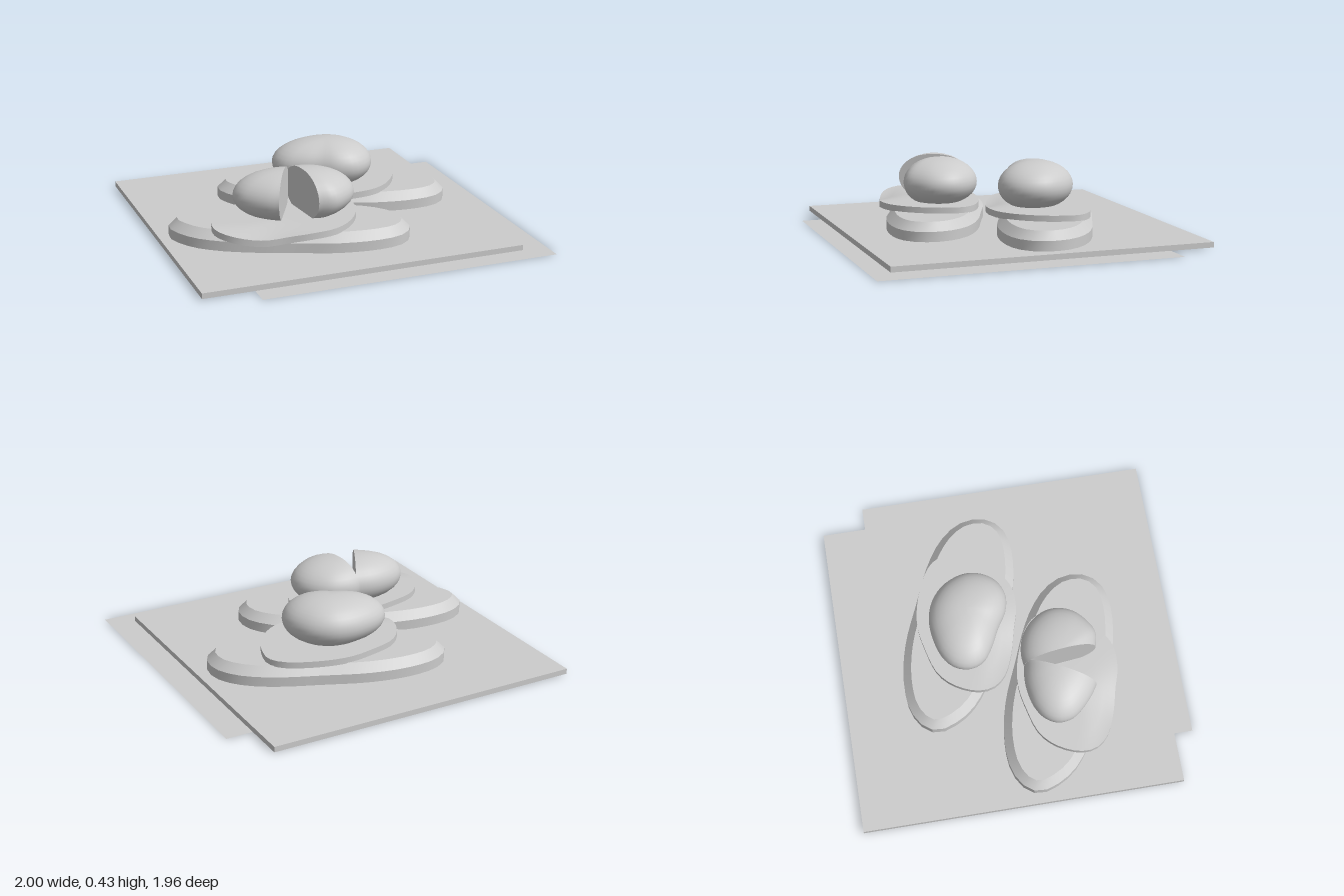
import * as THREE from 'three';
import { toCreasedNormals } from 'three/addons/utils/BufferGeometryUtils.js';

const grey = new THREE.MeshStandardMaterial({ color: 0xcccccc });

// Smooth outline through [x, z] points, counter-clockwise when seen from above
function smoothOutline(points, count, closed = true) {
  const curve = new THREE.CatmullRomCurve3(
    points.map(([x, z]) => new THREE.Vector3(x, 0, z)), closed);
  const out = curve.getSpacedPoints(count).map(p => new THREE.Vector2(p.x, p.z));
  if (closed) out.pop();
  if (THREE.ShapeUtils.area(out) > 0) out.reverse();
  return out;
}

// Stacks scaled or inset copies of an outline; rings are [y, scale, inset]
function loft(outline, rings, [cx, cz], crease = 0.6) {
  const n = outline.length;
  const layers = rings.map(([y, scale, inset = 0]) => outline.map((p, i) => {
    const a = outline[(i + n - 1) % n], b = outline[(i + 1) % n];
    const d = b.clone().sub(a).normalize();
    return new THREE.Vector3(
      cx + (p.x + d.y * inset - cx) * scale, y, cz + (p.y - d.x * inset - cz) * scale);
  }));
  const pos = [];
  const tri = (...v) => v.forEach(p => pos.push(p.x, p.y, p.z));
  const bottom = new THREE.Vector3(cx, rings[0][0], cz);
  const top = new THREE.Vector3(cx, rings[rings.length - 1][0], cz);
  const last = layers[layers.length - 1];
  for (let i = 0; i < n; i++) {
    const j = (i + 1) % n;
    tri(bottom, layers[0][j], layers[0][i]);
    for (let k = 0; k < layers.length - 1; k++) {
      const lo = layers[k], hi = layers[k + 1];
      tri(lo[i], lo[j], hi[j]);
      tri(lo[i], hi[j], hi[i]);
    }
    tri(top, last[i], last[j]);
  }
  const geo = new THREE.BufferGeometry();
  geo.setAttribute('position', new THREE.Float32BufferAttribute(pos, 3));
  return toCreasedNormals(geo, crease);
}

// Rounded vertical profile for the domed toppings
function domeRings(yMid, half, steps = 18) {
  const rings = [];
  for (let i = 0; i <= steps; i++) {
    const a = -Math.PI / 2 + (i / steps) * Math.PI;
    const c = Math.max(Math.cos(a), 0.02);
    rings.push([yMid + half * Math.sin(a), Math.pow(c, 0.88)]);
  }
  return rings;
}

function part(name, geometry, x = 0, z = 0) {
  const mesh = new THREE.Mesh(geometry, grey);
  mesh.name = name;
  mesh.position.set(x, 0, z);
  return mesh;
}

const baseOutline = [
  [-0.49, -0.44], [-0.485, -0.51], [-0.44, -0.57], [-0.36, -0.615], [-0.27, -0.632],
  [-0.12, -0.628], [0.07, -0.585], [0.3, -0.49], [0.5, -0.405], [0.64, -0.32],
  [0.73, -0.23], [0.778, -0.13], [0.777, -0.02], [0.74, 0.05], [0.66, 0.105],
  [0.53, 0.122], [0.4, 0.11], [0.27, 0.08], [0.1, 0.01], [-0.1, -0.07],
  [-0.3, -0.18], [-0.42, -0.29]];

const sliceOutline = [
  [-0.322, -0.21], [-0.27, -0.34], [-0.18, -0.43], [-0.03, -0.48], [0.13, -0.505],
  [0.3, -0.475], [0.48, -0.39], [0.536, -0.31], [0.525, -0.21], [0.48, -0.1],
  [0.38, 0.02], [0.27, 0.08], [0.13, 0.08], [0.03, 0.05], [-0.12, 0.01],
  [-0.25, -0.05], [-0.31, -0.12]];

const wholeOutline = [
  [-0.22, -0.24], [-0.195, -0.33], [-0.12, -0.395], [0, -0.43], [0.1, -0.435],
  [0.2, -0.41], [0.3, -0.33], [0.356, -0.2], [0.34, -0.09], [0.28, -0.01],
  [0.19, 0.027], [0.09, 0.01], [0, -0.045], [-0.11, -0.1], [-0.19, -0.16]];

const rightHalfOutline = [
  [-0.43, 0.45], [-0.49, 0.41], [-0.56, 0.345], [-0.605, 0.28], [-0.615, 0.2],
  [-0.58, 0.13], [-0.51, 0.08], [-0.42, 0.055], [-0.33, 0.05], [-0.235, 0.065]];

const leftHalfOutline = [
  [-0.255, 0.06], [-0.18, 0.055], [-0.08, 0.08], [0, 0.14], [0.05, 0.22],
  [0.06, 0.3], [0.03, 0.39], [-0.04, 0.46], [-0.12, 0.5], [-0.21, 0.485]];

// Thin slice whose front edge sags where it overhangs the base
function sliceGeometry() {
  const geo = loft(smoothOutline(sliceOutline, 48), [
    [0.137, 0.5], [0.137, 0.8], [0.137, 1], [0.174, 1], [0.174, 0.9], [0.174, 0.75], [0.174, 0.5],
  ], [0.11, -0.21]);
  const pos = geo.attributes.position;
  for (let i = 0; i < pos.count; i++) {
    const x = pos.getX(i), z = pos.getZ(i);
    const edge = THREE.MathUtils.smoothstep(z - 0.35 * x, -0.12, 0.06);
    pos.setY(i, pos.getY(i) - 0.036 * edge * Math.exp(-((x + 0.1) ** 2) / 0.035));
  }
  return toCreasedNormals(geo, 0.6);
}

export function createModel() {
  const model = new THREE.Group();
  model.name = 'platter';

  // Board and the thin sheet beneath it
  const board = part('board', new THREE.BoxGeometry(1.85, 0.031, 1.85));
  board.position.set(-0.075, 0.0195, -0.058);
  const sheet = part('underSheet', new THREE.PlaneGeometry(1.71, 1.71).rotateX(-Math.PI / 2), 0.145, 0.125);
  sheet.material = grey.clone();
  sheet.material.side = THREE.DoubleSide;
  model.add(board, sheet);

  // Two matching bases, each with a draped slice
  const baseGeo = loft(smoothOutline(baseOutline, 44),
    [[0.033, 1], [0.092, 1], [0.14, 1, 0.048]], [0.145, -0.255], 0.5);
  const sliceGeo = sliceGeometry();
  [['back', 0, 0], ['front', -0.45, 0.52]].forEach(([side, x, z]) => {
    model.add(part(side + 'Base', baseGeo, x, z), part(side + 'Slice', sliceGeo, x, z));
  });

  // Whole topping at the back, split topping at the front
  const rings = domeRings(0.287, 0.138);
  model.add(
    part('wholeTopping', loft(smoothOutline(wholeOutline, 48), rings, [0.1, -0.21], 0.9)),
    part('rightHalfTopping', loft(smoothOutline(rightHalfOutline, 32, false), rings, [-0.3325, 0.2575], 0.7)),
    part('leftHalfTopping', loft(smoothOutline(leftHalfOutline, 32, false), rings, [-0.2325, 0.2725], 0.7)));

  return model;
}
